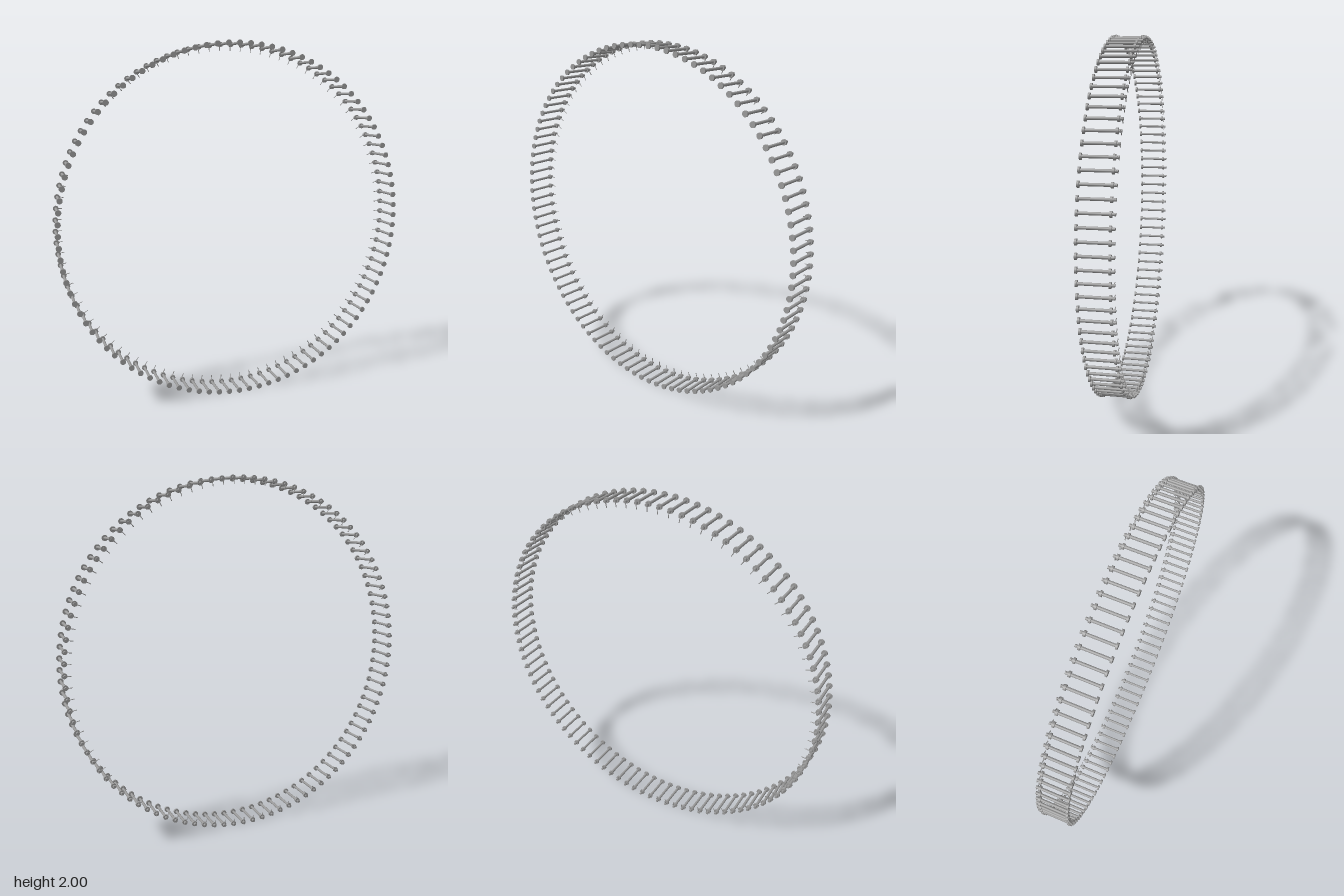
import * as THREE from 'three';

const COUNT = 100;    // pins around the ring
const RADIUS = 0.984; // ring radius to the pin axes

export function createModel() {
  const model = new THREE.Group();
  model.name = 'pinRing';
  const steel = new THREE.MeshStandardMaterial({ color: 0x999999 });
  steel.name = 'steel grey';

  // Cylinder along z between two depths
  const disc = (r, z0, z1, sides = 20) =>
    new THREE.CylinderGeometry(r, r, z1 - z0, sides)
      .rotateX(Math.PI / 2)
      .translate(0, 0, (z0 + z1) / 2);

  // Local +y points away from the ring centre
  const parts = {
    shaft: disc(0.0075, -0.088, 0.082, 14),
    head: disc(0.0155, 0.078, 0.088),
    washer: disc(0.0145, -0.072, -0.061),
    splitPin: new THREE.CylinderGeometry(0.0022, 0.0022, 0.046, 8).translate(0, -0.011, -0.081),
  };

  for (let i = 0; i < COUNT; i++) {
    const angle = (i / COUNT) * Math.PI * 2;
    const pin = new THREE.Group();
    pin.name = 'clevisPin' + (i + 1);
    for (const [name, geometry] of Object.entries(parts)) {
      const mesh = new THREE.Mesh(geometry, steel);
      mesh.name = name;
      pin.add(mesh);
    }
    pin.position.set(-Math.sin(angle) * RADIUS, 1 + Math.cos(angle) * RADIUS, 0);
    pin.rotation.z = angle;
    model.add(pin);
  }
  return model;
}
